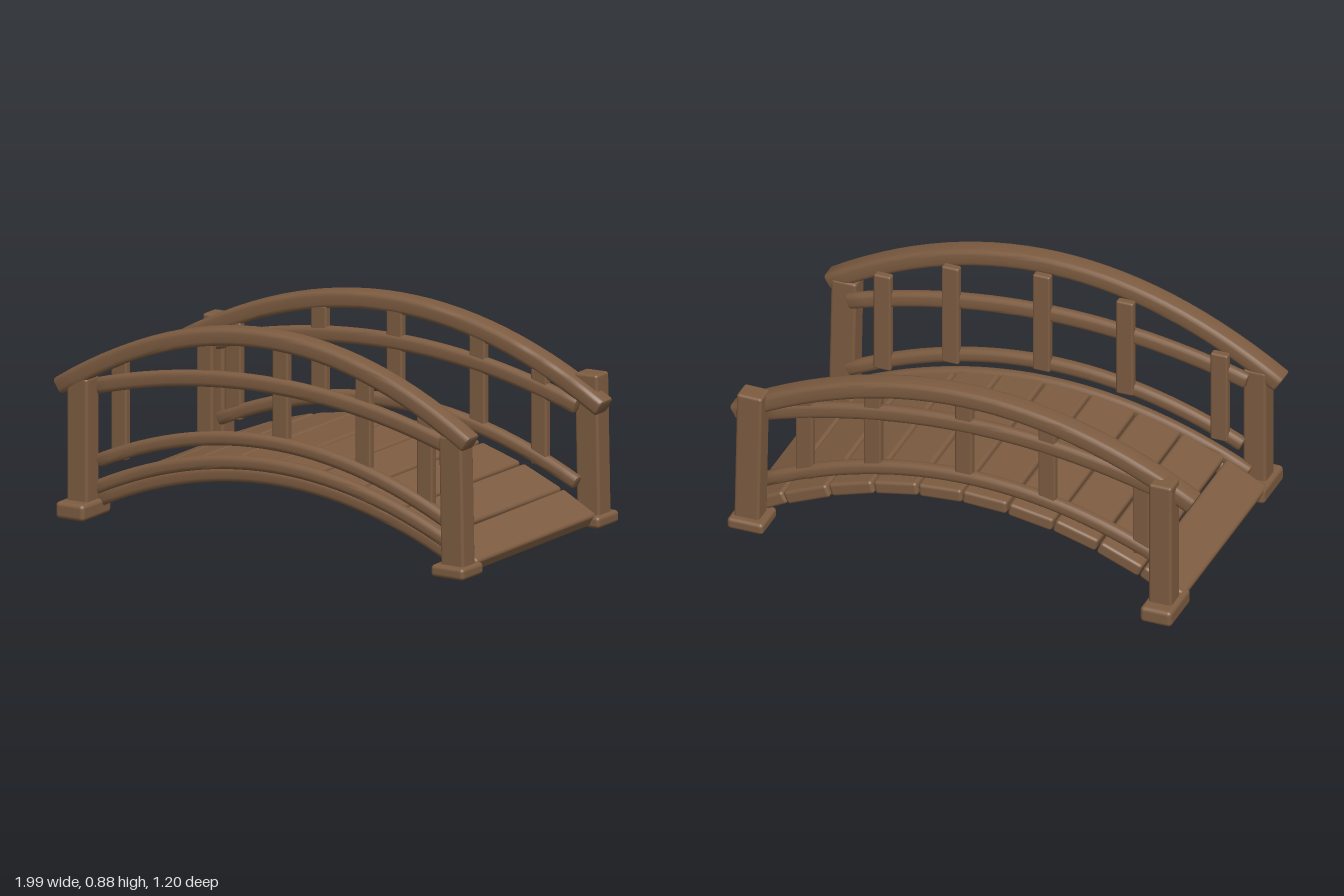
import * as THREE from 'three';
import { toCreasedNormals } from 'three/addons/utils/BufferGeometryUtils.js';
import { RoundedBoxGeometry } from 'three/addons/geometries/RoundedBoxGeometry.js';

const wood = new THREE.MeshStandardMaterial({ color: 0x7d5c41 });
wood.name = 'brown wood';

// Rounded rectangle cross-section
function roundedRect(w, h, r) {
  const s = new THREE.Shape();
  const x = w / 2, y = h / 2;
  s.moveTo(-x + r, -y);
  s.lineTo(x - r, -y);
  s.quadraticCurveTo(x, -y, x, -y + r);
  s.lineTo(x, y - r);
  s.quadraticCurveTo(x, y, x - r, y);
  s.lineTo(-x + r, y);
  s.quadraticCurveTo(-x, y, -x, y - r);
  s.lineTo(-x, -y + r);
  s.quadraticCurveTo(-x, -y, -x + r, -y);
  return s;
}

// Height of an arch: peak, curvature and slight sideways slope
const archY = (a, x) => a.peak - a.curve * x * x + (a.slope || 0) * x;

// Bar bent along an arch from x0 to x1
function archedBar(name, a, x0, x1, z, width, height) {
  const b = 0.008;
  const length = x1 - x0 - 2 * b;
  const g = new THREE.ExtrudeGeometry(roundedRect(width - 2 * b, height - 2 * b, 0.012), {
    depth: length, steps: 28, curveSegments: 3,
    bevelEnabled: true, bevelSize: b, bevelThickness: b, bevelSegments: 2,
  });
  g.rotateY(Math.PI / 2);
  const p = g.attributes.position;
  for (let i = 0; i < p.count; i++) {
    const x = x0 + b + p.getX(i), h = p.getY(i);
    const angle = Math.atan(-2 * a.curve * x + (a.slope || 0));
    p.setXYZ(i, x - Math.sin(angle) * h, archY(a, x) + Math.cos(angle) * h, z + p.getZ(i));
  }
  const mesh = new THREE.Mesh(toCreasedNormals(g, 0.7), wood);
  mesh.name = name;
  return mesh;
}

// Soft-edged block
function block(name, w, h, d, x, y, z, r = 0.012) {
  const mesh = new THREE.Mesh(new RoundedBoxGeometry(w, h, d, 3, r), wood);
  mesh.name = name;
  mesh.position.set(x, y, z);
  return mesh;
}

export function createModel() {
  const model = new THREE.Group();
  model.name = 'footbridge';
  let seed = 7;
  const jitter = (n) => {
    seed = (seed * 16807) % 2147483647;
    return (seed / 2147483647 - 0.5) * 2 * n;
  };

  // Deck planks following the arch
  const deck = new THREE.Group();
  deck.name = 'deck';
  const floor = { peak: 0.33, curve: 0.31 };
  const seams = [-0.925, -0.745, -0.56, -0.37, -0.175, 0.02, 0.21, 0.4, 0.59, 0.78, 0.945];
  for (let i = 0; i < seams.length - 1; i++) {
    const a = seams[i], b = seams[i + 1];
    const ya = archY(floor, a), yb = archY(floor, b);
    const plank = block('plank', Math.hypot(b - a, yb - ya) - 0.006, 0.058, 0.88 + jitter(0.008),
      (a + b) / 2, (ya + yb) / 2 - 0.027, -0.006 + jitter(0.004), 0.014);
    plank.rotation.set(jitter(0.006), jitter(0.006), Math.atan2(yb - ya, b - a));
    deck.add(plank);
  }
  model.add(deck);

  // Arched beams along the front edge of the deck
  model.add(
    archedBar('upperDeckBeam', { peak: 0.313, curve: 0.29 }, -0.85, 0.87, 0.447, 0.05, 0.055),
    archedBar('lowerDeckBeam', { peak: 0.262, curve: 0.29 }, -0.83, 0.87, 0.435, 0.045, 0.062),
  );

  // Railings: front one taller and further out
  const sides = [
    {
      name: 'frontRailing', top: { peak: 0.848, curve: 0.335, slope: 0.012 }, topX: 0.965, topZ: 0.501,
      mid: { peak: 0.643, curve: 0.18, slope: -0.012 }, low: { peak: 0.408, curve: 0.29, slope: -0.013 },
      railZ: 0.45, balusterZ: 0.434, shift: 0,
    },
    {
      name: 'backRailing', top: { peak: 0.79, curve: 0.295, slope: -0.012 }, topX: 0.98, topZ: -0.456,
      mid: { peak: 0.637, curve: 0.18, slope: -0.012 }, low: { peak: 0.392, curve: 0.28, slope: -0.005 },
      railZ: -0.43, balusterZ: -0.43, shift: -0.018,
    },
  ];
  for (const s of sides) {
    const rail = new THREE.Group();
    rail.name = s.name;
    rail.add(
      archedBar('handrail', s.top, -s.topX, s.topX, s.topZ, 0.092, 0.072),
      archedBar('middleRail', s.mid, -0.84, 0.87, s.railZ, 0.046, 0.066),
      archedBar('lowerRail', s.low, -0.82, 0.87, s.railZ, 0.05, 0.056),
    );
    for (const x of [-0.73, -0.325, 0.032, 0.423, 0.715]) {
      const bx = x + s.shift;
      const y0 = archY(s.low, bx) - 0.025, y1 = archY(s.top, bx) - 0.018;
      rail.add(block('baluster', 0.074, y1 - y0, 0.036, bx, (y0 + y1) / 2, s.balusterZ, 0.009));
    }
    model.add(rail);
  }

  // Corner posts on foot blocks
  for (const front of [true, false]) {
    const side = front ? 1 : -1;
    const top = front ? 0.575 : 0.62;
    for (const right of [false, true]) {
      const x = right ? 0.9 : -0.868;
      const post = block('cornerPost', right ? 0.108 : 0.098, top - 0.02, 0.092, x, (top + 0.02) / 2, side * 0.498);
      if (right) post.rotation.z = 0.02;
      model.add(post);
      model.add(right
        ? block('foot', 0.155, 0.05, 0.155, 0.9, 0.025, side * 0.4975, 0.016)
        : block('foot', 0.135, 0.07, 0.212, -0.87, 0.035, side * 0.492, 0.018));
    }
  }
  return model;
}
